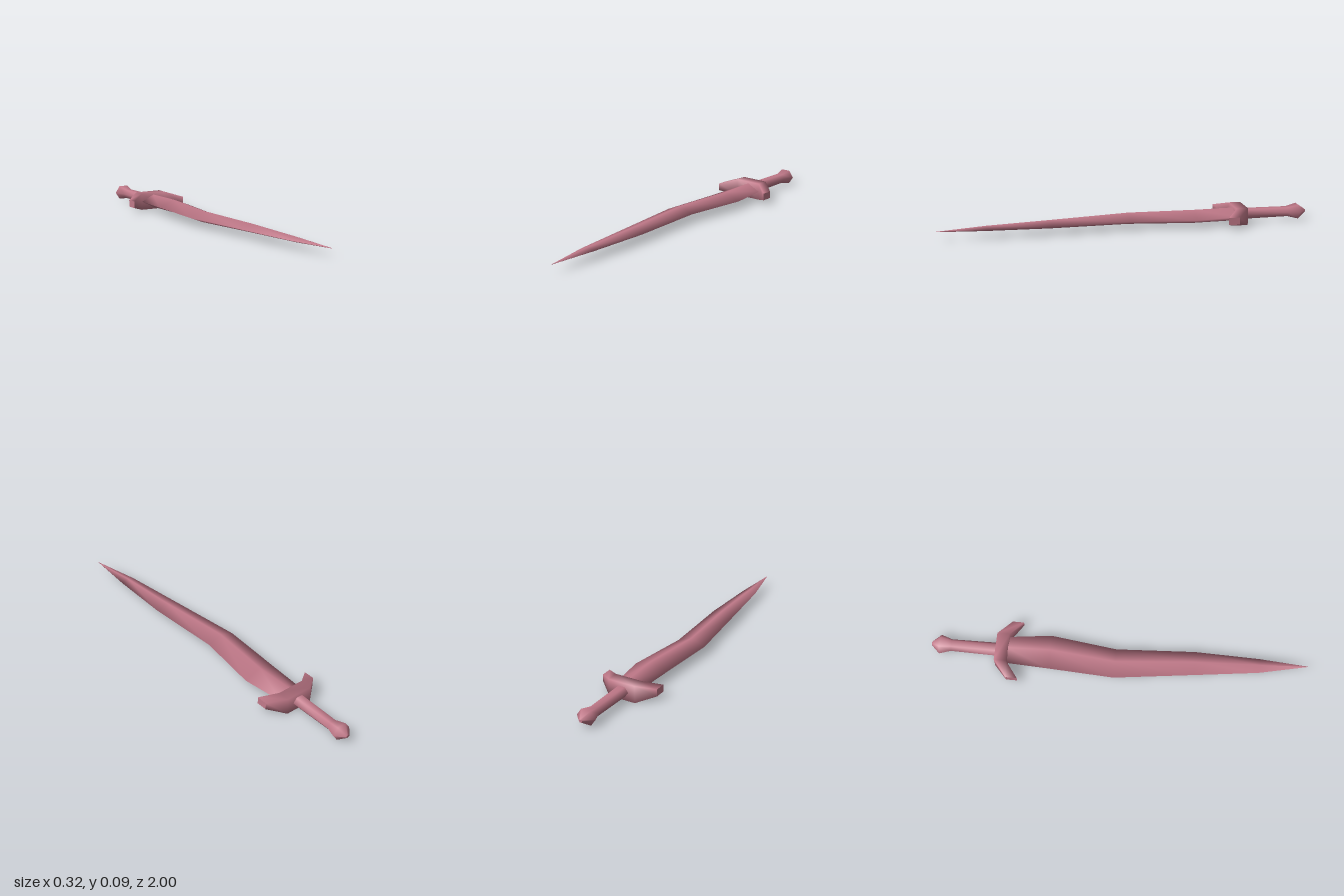
import * as THREE from 'three';

const MID = 0.046; // height of the sword's centre plane

// Skin a list of equal-length rings, smooth along the sides, with flat end caps
function loft(rings) {
  const n = rings[0].length, pos = [], index = [];
  rings.forEach(r => r.forEach(p => pos.push(...p)));
  for (let i = 0; i < rings.length - 1; i++) {
    for (let j = 0; j < n; j++) {
      const k = (j + 1) % n, a = i * n + j, b = i * n + k;
      index.push(a, b, b + n, a, b + n, a + n);
    }
  }
  const cap = ring => {
    const base = pos.length / 3;
    ring.forEach(p => pos.push(...p));
    for (let j = 1; j < n - 1; j++) index.push(base, base + j, base + j + 1);
  };
  cap([...rings[0]].reverse());
  cap(rings[rings.length - 1]);
  const g = new THREE.BufferGeometry();
  g.setAttribute('position', new THREE.Float32BufferAttribute(pos, 3));
  g.setIndex(index);
  g.computeVertexNormals();
  return g;
}

export function createModel() {
  const group = new THREE.Group();
  group.name = 'sword';
  const rose = new THREE.MeshStandardMaterial({ color: 0xc27a8a });
  rose.name = 'dusty rose';
  const add = (name, geometry) => {
    const mesh = new THREE.Mesh(geometry, rose);
    mesh.name = name;
    group.add(mesh);
  };

  // Wavy blade: diamond sections as [z, left edge, right edge, half thickness]
  const blade = [
    [-0.60, -0.072, 0.075, 0.036],
    [-0.37, -0.082, 0.104, 0.036],
    [-0.02, -0.100, 0.060, 0.031],
    [0.40, -0.045, 0.085, 0.023],
    [0.74, 0.000, 0.078, 0.014],
    [1.00, 0.058, 0.060, 0.001],
  ].map(([z, l, r, h]) => {
    const m = (l + r) / 2;
    return [[r, MID, z], [m, MID + h, z], [l, MID, z], [m, MID - h, z]];
  });
  add('blade', loft(blade));

  // Crossguard swept towards the blade: [x, half height, back z, front z]
  const guard = [
    [-0.158, 0.019, -0.585, -0.525],
    [-0.075, 0.046, -0.655, -0.590],
    [0.075, 0.046, -0.655, -0.590],
    [0.158, 0.019, -0.585, -0.525],
  ].map(([x, h, b, f]) => [[x, MID - h, b], [x, MID + h, b], [x, MID + h, f], [x, MID - h, f]]);
  add('crossguard', loft(guard));

  // Six-sided flattened grip and pommel: [z, half width, half height]
  const hexRing = ([z, w, h]) => Array.from({ length: 6 }, (_, i) => {
    const a = i * Math.PI / 3;
    return [w * Math.cos(a), MID + h * Math.sin(a) / Math.sin(Math.PI / 3), z];
  });
  const handle = [
    [-1.00, 0.010, 0.007],
    [-0.955, 0.053, 0.038],
    [-0.895, 0.033, 0.024],
    [-0.64, 0.037, 0.026],
  ];
  add('gripAndPommel', loft(handle.map(hexRing)));

  return group;
}
